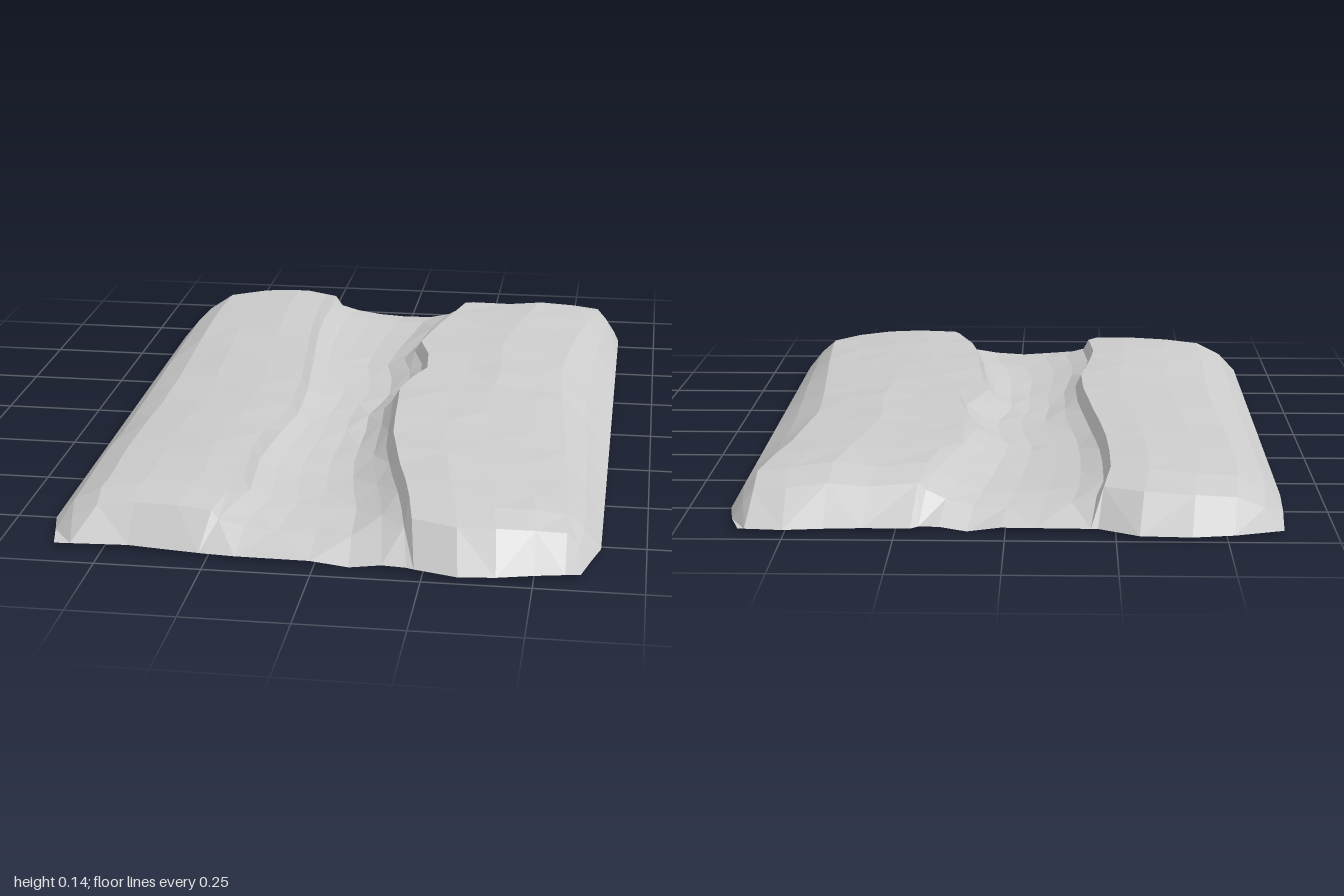
import * as THREE from 'three';

// Piecewise-linear curve through [position, value] pairs
function curve(points, t) {
  if (t <= points[0][0]) return points[0][1];
  for (let i = 1; i < points.length; i++) {
    const [a, va] = points[i - 1], [b, vb] = points[i];
    if (t <= b) return va + (vb - va) * (t - a) / (b - a);
  }
  return points[points.length - 1][1];
}

function seeded(seed) {
  return () => {
    seed = (seed * 16807) % 2147483647;
    return seed / 2147483647;
  };
}

// Plan lines: outer edges, channel banks and the right-hand rim, as x along z
const leftEdge = [[-0.95, -0.63], [-0.7, -0.65], [0.82, -0.65], [0.92, -0.615]];
const rightEdge = [[-0.95, 0.605], [-0.82, 0.645], [0.8, 0.645], [0.94, 0.605]];
const leftBank = [[-0.94, -0.21], [-0.76, -0.245], [-0.5, -0.235], [-0.3, -0.215], [0, -0.185],
  [0.2, -0.18], [0.5, -0.22], [0.72, -0.205], [0.92, -0.27]];
const rightBank = [[-0.94, 0.215], [-0.8, 0.19], [-0.6, 0.15], [-0.34, 0.1], [-0.22, 0.135], [-0.1, 0.145],
  [0.08, 0.09], [0.2, 0.1], [0.42, 0.115], [0.6, 0.15], [0.75, 0.19], [0.94, 0.23]];
const rightRim = [[-0.9, 0.575], [-0.8, 0.585], [-0.5, 0.53], [-0.2, 0.5], [0.1, 0.52], [0.5, 0.55], [0.9, 0.57]];

// Ragged ends, as z along x
const backEnd = [[-0.63, -0.94], [-0.46, -1], [-0.3, -0.99], [-0.21, -0.935], [0.2, -0.925], [0.23, -0.96],
  [0.27, -0.96], [0.365, -0.925], [0.45, -0.965], [0.6, -0.95]];
const frontEnd = [[-0.61, 0.92], [-0.44, 0.91], [-0.3, 0.93], [-0.2, 0.94], [0.2, 0.945], [0.25, 0.965],
  [0.365, 0.995], [0.45, 0.965], [0.6, 0.935]];

// Heights: bevel at the ends and the crest of the right bank
const endBevel = [[0.6, 1], [0.82, 0.94], [0.915, 0.7], [1, 0]];
const rightCrest = [[-0.9, 0.122], [-0.4, 0.128], [0.1, 0.136], [0.34, 0.142], [0.7, 0.136]];

// One cross-section of [x, y] points from left to right
function crossSection(z) {
  const le = curve(leftEdge, z), lb = curve(leftBank, z);
  const re = curve(rightEdge, z), rb = curve(rightBank, z);
  const rim = curve(rightRim, z), crest = curve(rightCrest, z);
  const left = s => le + (lb - le) * s;
  const bed = s => lb + (rb - lb) * s;
  const right = s => rb + (rim - rb) * s;
  return [
    // left slab
    [le, 0.01], [left(0.11), 0.064], [left(0.27), 0.104], [left(0.5), 0.116], [left(0.78), 0.124], [lb, 0.121],
    // channel
    [lb + 0.016, 0.088], [bed(0.17), 0.068], [bed(0.33), 0.056], [bed(0.52), 0.05], [bed(0.7), 0.053],
    [bed(0.85), 0.075], [rb - 0.018, 0.1],
    // right slab
    [rb, crest], [right(0.3), crest - 0.003], [right(0.55), 0.128], [right(0.8), 0.117], [rim, 0.107],
    [(rim + re) / 2, 0.066], [re, 0.01]
  ];
}

function createSlabGeometry() {
  const stations = [-1, -0.915, -0.82, -0.68, -0.54, -0.44, -0.36, -0.24, -0.1, 0, 0.09, 0.21,
    0.34, 0.45, 0.56, 0.66, 0.76, 0.84, 0.915, 1];
  const random = seeded(71);
  const positions = [], index = [];
  const columns = crossSection(0).length;
  stations.forEach((t, row) => {
    const end = Math.abs(t) === 1;
    crossSection(t * 0.95).forEach(([x, y], col) => {
      const z = t < 0 ? -t * curve(backEnd, x) : t * curve(frontEnd, x);
      const side = col === 0 || col === columns - 1;
      // shallow hewn facets away from the border
      const rough = end || side ? 0 : (random() - 0.5) * 0.006;
      const base = end && col === 10 ? 0 : 0.01;
      positions.push(x, base + (y - 0.01) * curve(endBevel, Math.abs(t)) + rough, z);
      if (row && col) {
        const d = row * columns + col, c = d - 1, b = d - columns, a = b - 1;
        if ((row + col) % 2) index.push(a, c, b, b, c, d);
        else index.push(a, c, d, a, d, b);
      }
    });
  });
  const geometry = new THREE.BufferGeometry();
  geometry.setAttribute('position', new THREE.Float32BufferAttribute(positions, 3));
  geometry.setIndex(index);
  geometry.computeVertexNormals();
  return geometry;
}

export function createModel() {
  const group = new THREE.Group();
  group.name = 'channelTerrainTile';
  // open-bottomed ground shell with a sunken channel
  const ground = new THREE.Mesh(createSlabGeometry(), new THREE.MeshStandardMaterial({
    color: 0xcccccc, flatShading: true, side: THREE.DoubleSide
  }));
  ground.name = 'groundWithChannel';
  group.add(ground);
  return group;
}
